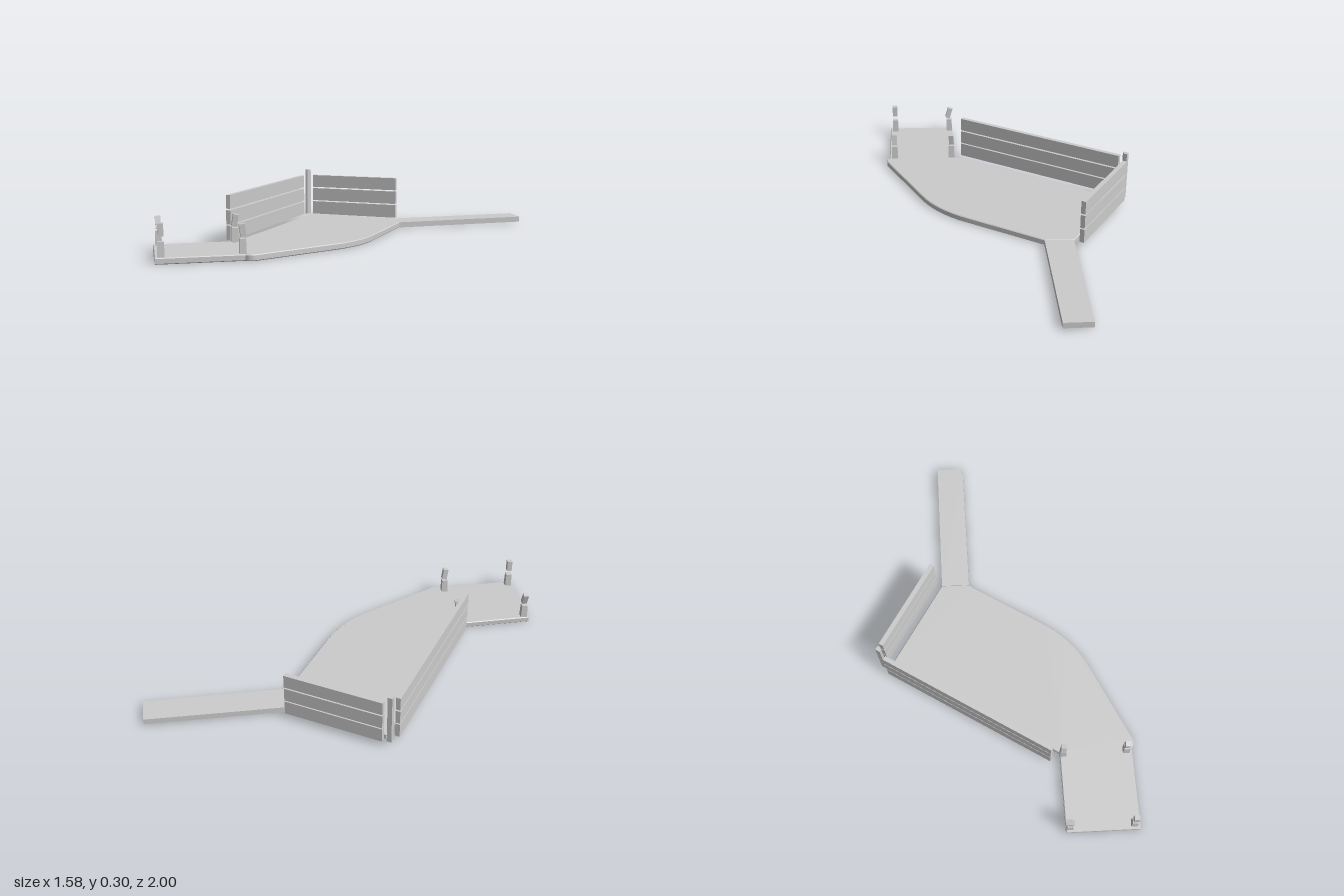
import * as THREE from 'three';

const material = new THREE.MeshStandardMaterial({ color: 0xcccccc, flatShading: true });

export function createModel() {
  const model = new THREE.Group();

  const add = (name, geometry, x = 0, y = 0, z = 0) => {
    const mesh = new THREE.Mesh(geometry, material);
    mesh.name = name;
    mesh.position.set(x, y, z);
    model.add(mesh);
    return mesh;
  };

  // Turn a plan outline (x, -z) into a slab standing on y = 0
  const slab = (shape, height, bevel) => {
    const geometry = new THREE.ExtrudeGeometry(shape, {
      depth: height - 2 * bevel, curveSegments: 12,
      bevelEnabled: bevel > 0, bevelSize: bevel, bevelThickness: bevel,
      bevelOffset: -bevel, bevelSegments: 1,
    });
    return geometry.rotateX(-Math.PI / 2).translate(0, bevel, 0);
  };

  // Floor with a curved front right edge and an angled front bay
  const floor = new THREE.Shape();
  floor.moveTo(-0.435, 0.605);
  floor.lineTo(-0.435, -0.435);
  floor.lineTo(-0.79, -0.665);
  floor.lineTo(-0.585, -0.995);
  floor.lineTo(-0.225, -0.757);
  floor.quadraticCurveTo(-0.19, -0.765, -0.17, -0.73);
  floor.lineTo(0.085, -0.32);
  floor.bezierCurveTo(0.14, -0.23, 0.168, -0.12, 0.168, 0);
  floor.lineTo(0.168, 0.475);
  floor.lineTo(0.09, 0.605);
  floor.closePath();
  add('floor', slab(floor, 0.032, 0.004));

  // Path arm, rising slightly towards its far end
  const arm = new THREE.Shape([
    [0.09, 0.603], [0.168, 0.473], [0.79, 0.878], [0.71, 1.0],
  ].map(([x, y]) => new THREE.Vector2(x, y)));
  const armGeometry = slab(arm, 0.03, 0);
  const p = armGeometry.attributes.position;
  for (let i = 0; i < p.count; i++) {
    if (p.getX(i) > 0.5) p.setY(i, p.getY(i) + 0.009);
  }
  armGeometry.computeVertexNormals();
  add('pathArm', armGeometry);

  // Two fences of three boards each
  [[0.03, 0.106], [0.113, 0.187], [0.195, 0.267]].forEach(([low, high]) => {
    const h = high - low, y = (low + high) / 2;
    add('sideFenceBoard', new THREE.BoxGeometry(0.024, h, 1.005), -0.488, y, -0.09);
    add('backFenceBoard', new THREE.BoxGeometry(0.527, h, 0.025), -0.171, y, -0.647);
  });

  // Corner post with one chamfered edge
  const post = new THREE.Shape([
    [-0.479, 0.62], [-0.465, 0.62], [-0.455, 0.632], [-0.455, 0.648], [-0.479, 0.648],
  ].map(([x, y]) => new THREE.Vector2(x, y)));
  add('cornerPost', slab(post, 0.27, 0), 0, 0.03, 0);

  // Bollards: tapered stub and loose upper block [x, z, block y, lean x, lean z]
  [
    [-0.755, 0.668, 0.148, -0.012, -0.014],
    [-0.43, 0.453, 0.145, 0.01, -0.002],
    [-0.25, 0.736, 0.147, -0.006, 0.006],
    [-0.575, 0.952, 0.163, 0, 0],
  ].forEach(([x, z, y, leanX, leanZ]) => {
    const stub = new THREE.CylinderGeometry(0.022, 0.025, 0.076, 4).rotateY(Math.PI / 4);
    add('bollardStub', stub, x, 0.068, z).rotation.y = 0.55;
    const block = new THREE.BoxGeometry(0.028, 0.062, 0.028).rotateY(0.55);
    add('bollardBlock', block, x, y, z).quaternion.setFromUnitVectors(
      new THREE.Vector3(0, 1, 0), new THREE.Vector3(leanX, 0.06, leanZ).normalize());
  });

  return model;
}
